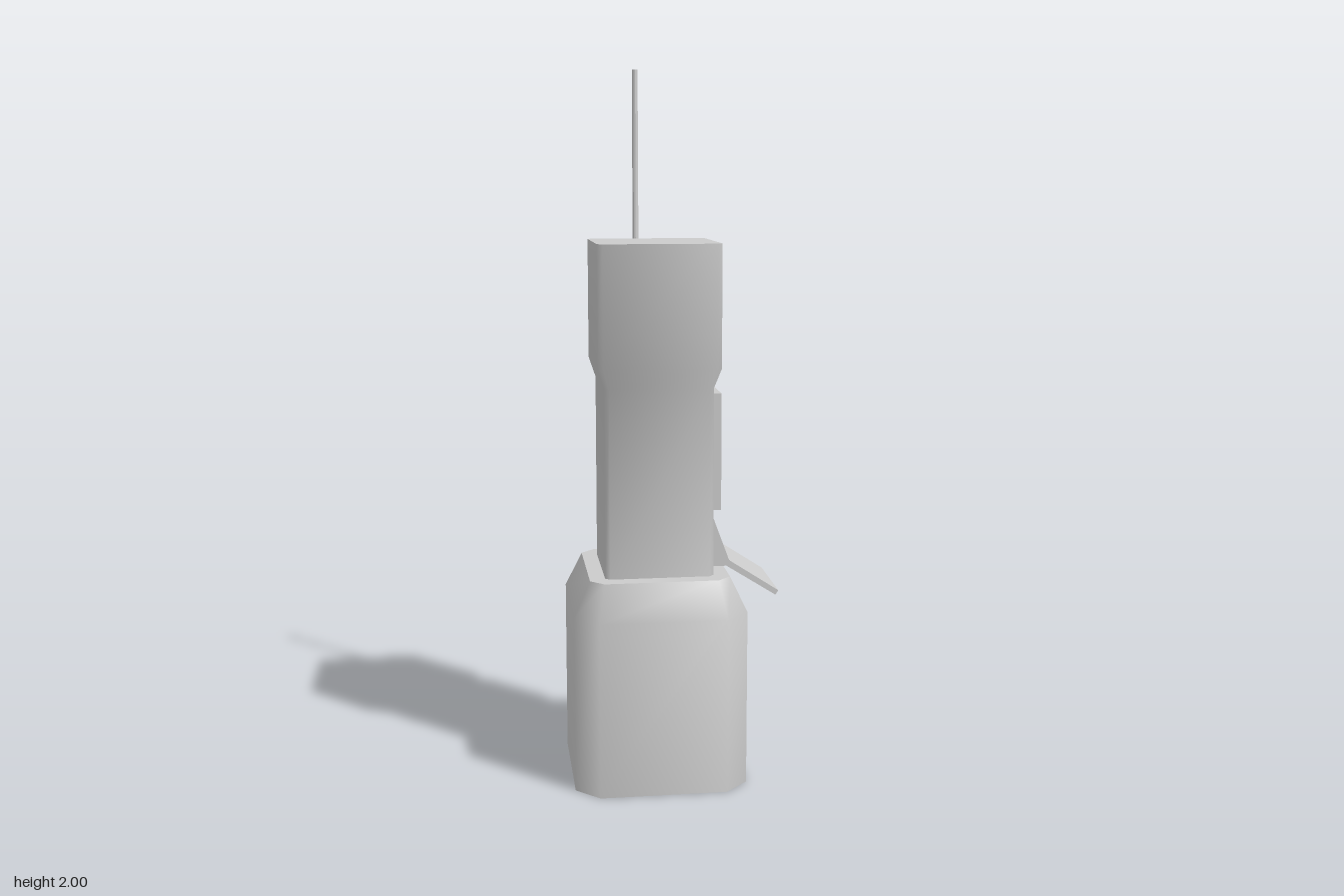
import * as THREE from 'three';
import { toCreasedNormals } from 'three/addons/utils/BufferGeometryUtils.js';

const grey = new THREE.MeshStandardMaterial({ color: 0xcccccc });
const CX = -0.05; // axis of the tower

function part(name, geometry) {
  const mesh = new THREE.Mesh(geometry, grey);
  mesh.name = name;
  return mesh;
}

// Square with cut corners, counter-clockwise seen from above
function ring({ y, x, z, cut }) {
  const a = x - cut, b = z - cut;
  return [[x, -b], [x, b], [a, z], [-a, z], [-x, b], [-x, -b], [-a, -z], [a, -z]]
    .map(([px, pz]) => new THREE.Vector3(CX + px, y, -pz));
}

// Capped loft through the given levels, corners shaded smooth
function loft(levels) {
  const rings = levels.map(ring), pts = [], n = 8;
  for (let i = 0; i < rings.length - 1; i++) {
    for (let j = 0; j < n; j++) {
      const k = (j + 1) % n, a = rings[i], b = rings[i + 1];
      pts.push(a[j], a[k], b[k], a[j], b[k], b[j]);
    }
  }
  const bottom = rings[0], top = rings[rings.length - 1];
  for (let j = 1; j < n - 1; j++) {
    pts.push(bottom[0], bottom[j + 1], bottom[j], top[0], top[j], top[j + 1]);
  }
  return toCreasedNormals(new THREE.BufferGeometry().setFromPoints(pts), 0.9);
}

// Side profile in x and y, extruded between two z values
function prism(points, z0, z1) {
  const shape = new THREE.Shape(points.map(([x, y]) => new THREE.Vector2(x, y)));
  return new THREE.ExtrudeGeometry(shape, { depth: z1 - z0, bevelEnabled: false }).translate(0, 0, z0);
}

function rectangle(path, w, y0, y1) {
  path.moveTo(-w, y0).lineTo(w, y0).lineTo(w, y1).lineTo(-w, y1).closePath();
  return path;
}

export function createModel() {
  const group = new THREE.Group();

  // Wide foot with a sloped shoulder
  group.add(part('base', loft([
    { y: 0, x: 0.243, z: 0.243, cut: 0.065 },
    { y: 0.5, x: 0.243, z: 0.243, cut: 0.065 },
    { y: 0.6, x: 0.196, z: 0.196, cut: 0.037 },
  ])));

  // Column flaring into the head
  group.add(part('column', loft([
    { y: 0.59, x: 0.152, z: 0.15, cut: 0.013 },
    { y: 1.13, x: 0.152, z: 0.15, cut: 0.013 },
    { y: 1.185, x: 0.17, z: 0.171, cut: 0.014 },
    { y: 1.525, x: 0.17, z: 0.171, cut: 0.014 },
  ])));

  // Raised frame round the screen
  const frame = rectangle(new THREE.Shape(), 0.132, 0.785, 1.113);
  frame.holes.push(rectangle(new THREE.Path(), 0.115, 0.802, 1.097));
  group.add(part('screenFrame', new THREE.ExtrudeGeometry(frame, { depth: 0.026, bevelEnabled: false })
    .rotateY(Math.PI / 2).translate(0.098, 0, 0)));

  // Sloped console: cheeks and lower lip round a recessed panel
  const console3 = new THREE.Group();
  console3.name = 'console';
  const cheek = [[0.098, 0.622], [0.147, 0.622], [0.15, 0.635], [0.102, 0.765], [0.098, 0.765]];
  for (const z of [-0.125, 0.114]) console3.add(part('consoleCheek', prism(cheek, z, z + 0.011)));
  console3.add(part('consolePanel', prism(
    [[0.098, 0.622], [0.137, 0.622], [0.137, 0.635], [0.098, 0.745]], -0.114, 0.114)));
  console3.add(part('consoleLip', prism(
    [[0.136, 0.622], [0.147, 0.622], [0.15, 0.635], [0.147, 0.642], [0.136, 0.642]], -0.114, 0.114)));
  console3.add(part('consoleTopLip', prism(
    [[0.098, 0.748], [0.108, 0.748], [0.102, 0.765], [0.098, 0.765]], -0.114, 0.114)));
  group.add(console3);

  // Shelf sloping down and outwards
  group.add(part('shelf', prism(
    [[0.141, 0.622], [0.283, 0.532], [0.291, 0.545], [0.15, 0.637]], -0.124, 0.124)));

  // Antenna holder on the back
  const holder = [[-0.133, -0.165], [-0.133, -0.198], [-0.115, -0.222], [-0.08, -0.233],
    [-0.045, -0.222], [-0.026, -0.198], [-0.026, -0.165]];
  const holderShape = new THREE.Shape(holder.map(([x, z]) => new THREE.Vector2(x, -z)));
  group.add(part('antennaHolder', toCreasedNormals(
    new THREE.ExtrudeGeometry(holderShape, { depth: 0.115, bevelEnabled: false })
      .rotateX(-Math.PI / 2).translate(0, 1.188, 0), 0.8)));

  // Antenna with a tapered foot
  const profile = [[0, 1.3], [0.017, 1.3], [0.016, 1.33], [0.009, 1.44], [0.008, 2], [0, 2]];
  const rod = new THREE.LatheGeometry(profile.map(([r, y]) => new THREE.Vector2(r, y)), 10);
  group.add(part('antenna', toCreasedNormals(rod, 0.8).translate(-0.08, 0, -0.175)));

  return group;
}
